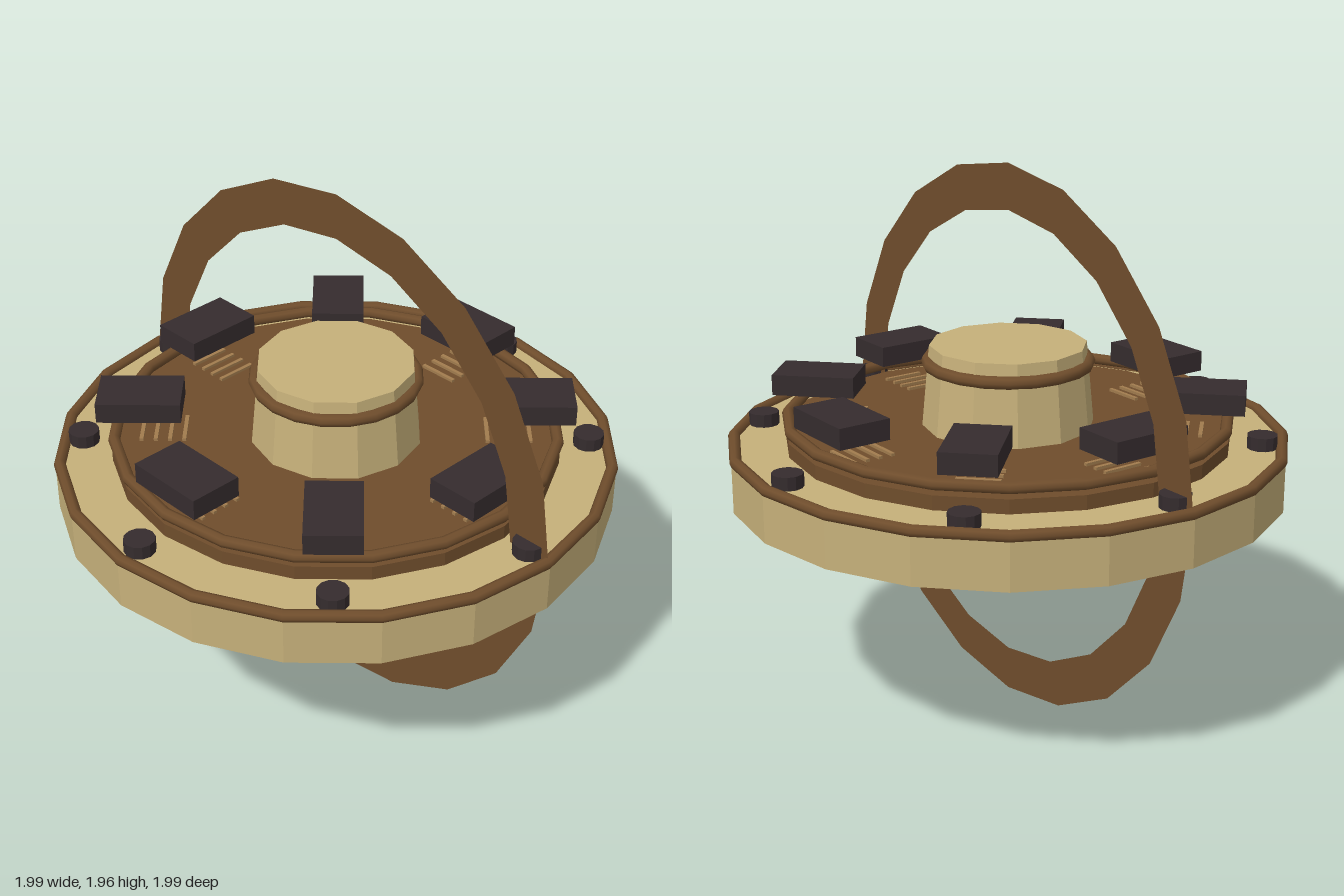
import * as THREE from 'three';

export function createModel() {
  const model = new THREE.Group();
  const mat = (name, color, extra = {}) => {
    const m = new THREE.MeshStandardMaterial({ color, ...extra });
    m.name = name;
    return m;
  };
  const sand = mat('sand', 0xc6b07a, { flatShading: true });
  const brown = mat('brown', 0x6f4d2c, { side: THREE.DoubleSide });
  const deckBrown = brown.clone();
  deckBrown.flatShading = true;
  const dark = mat('dark', 0x352c2e, { flatShading: true });
  const bronze = mat('bronze', 0xa17c4e);

  const add = (name, geometry, material, x = 0, y = 0, z = 0, parent = model) => {
    const mesh = new THREE.Mesh(geometry, material);
    mesh.name = name;
    mesh.position.set(x, y, z);
    parent.add(mesh);
    return mesh;
  };
  // Cylinder given by its bottom and top heights
  const drum = (name, rTop, rBottom, y0, y1, sides, material) =>
    add(name, new THREE.CylinderGeometry(rTop, rBottom, y1 - y0, sides), material, 0, (y0 + y1) / 2, 0);
  // Round trim lying flat
  const trim = (name, radius, tube, y) =>
    add(name, new THREE.TorusGeometry(radius, tube, 8, 20).rotateX(Math.PI / 2), brown, 0, y, 0);

  // Main disc, raised deck and central hub
  drum('baseDisc', 0.99, 0.99, 0.82, 1.0, 20, sand);
  drum('deck', 0.79, 0.79, 0.98, 1.05, 20, deckBrown);
  drum('hub', 0.278, 0.305, 1.05, 1.34, 12, sand);
  trim('baseTrim', 0.975, 0.021, 1.0);
  trim('deckTrim', 0.78, 0.021, 1.085);
  trim('hubTrim', 0.283, 0.023, 1.277);

  // Flat upright ring passing through the disc
  add('uprightRing', new THREE.RingGeometry(0.82, 0.982, 20), brown, 0, 0.99, 0);

  // Eight stations: floating block, rim stud and deck slats
  const blockGeo = new THREE.BoxGeometry(0.192, 0.074, 0.295);
  const studGeo = new THREE.CylinderGeometry(0.054, 0.054, 0.05, 12);
  const slatGeo = new THREE.BoxGeometry(0.014, 0.012, 0.15);
  for (let i = 0; i < 8; i++) {
    const a = (i * Math.PI) / 4;
    const c = Math.cos(a), s = Math.sin(a);
    // Blocks turn against the circle, so the diagonal ones point outward
    add('block', blockGeo, dark, 0.685 * c, 1.176, 0.685 * s).rotation.y = a;
    add('stud', studGeo, dark, 0.895 * c, 1.022, 0.895 * s);
    const slats = new THREE.Group();
    slats.name = 'slats';
    slats.rotation.y = -a;
    for (let k = 0; k < 4; k++) add('slat', slatGeo, bronze, 0.532 + k * 0.05, 1.054, 0, slats);
    model.add(slats);
  }
  return model;
}
